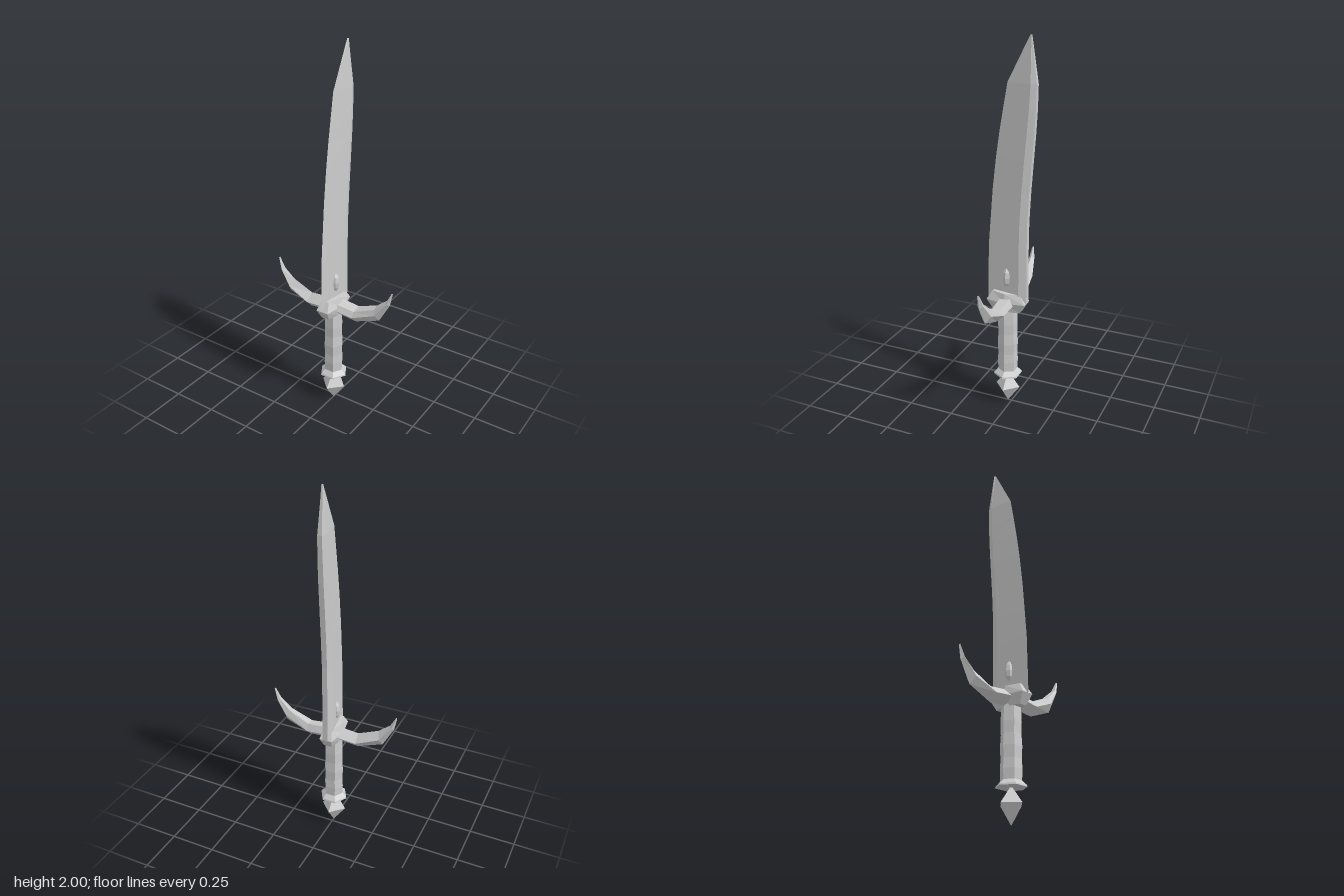
import * as THREE from 'three';

const steel = new THREE.MeshStandardMaterial({ color: 0xcccccc, flatShading: true });
steel.name = 'steel';
const AXIS_Z = 0.022; // the hilt sits a little forward of centre

// Skins a list of equal-length rings of [x, y, z] points and caps both ends.
function loft(name, rings) {
  const tris = [];
  const n = rings[0].length;
  for (let i = 0; i < rings.length - 1; i++) {
    for (let j = 0; j < n; j++) {
      const k = (j + 1) % n;
      const [a, b, c, d] = [rings[i][j], rings[i][k], rings[i + 1][k], rings[i + 1][j]];
      tris.push([a, b, c], [a, c, d]);
    }
  }
  const cap = (ring, flip) => {
    const mid = [0, 1, 2].map((q) => ring.reduce((s, p) => s + p[q], 0) / n);
    ring.forEach((p, j) => {
      const next = ring[(j + 1) % n];
      tris.push(flip ? [mid, next, p] : [mid, p, next]);
    });
  };
  cap(rings[0], true);
  cap(rings[rings.length - 1], false);

  // Turn the surface outward if its signed volume is negative.
  const v = (p) => new THREE.Vector3(...p);
  const volume = tris.reduce((s, [a, b, c]) => s + v(a).dot(v(b).cross(v(c))), 0);
  if (volume < 0) tris.forEach((t) => t.reverse());

  const geometry = new THREE.BufferGeometry();
  geometry.setAttribute('position', new THREE.Float32BufferAttribute(tris.flat(2), 3));
  geometry.computeVertexNormals();
  const mesh = new THREE.Mesh(geometry, steel);
  mesh.name = name;
  return mesh;
}

// Horizontal polygon ring around the hilt axis, with a corner on +x.
function polygon(radius, y, sides) {
  return Array.from({ length: sides }, (_, i) => {
    const a = (i / sides) * Math.PI * 2;
    return [radius * Math.cos(a), y, AXIS_Z + radius * Math.sin(a)];
  });
}

// Blade: sharp front edge, bevelled spine, clipped point.
function blade() {
  // y, edge z, spine z, half thickness
  const stations = [
    [0.62, 0.137, -0.09, 0.027], [0.92, 0.13, -0.09, 0.027], [1.07, 0.118, -0.092, 0.027],
    [1.23, 0.105, -0.101, 0.027], [1.4, 0.085, -0.114, 0.027], [1.54, 0.064, -0.125, 0.026],
    [1.66, 0.043, -0.132, 0.025], [1.775, 0.022, -0.135, 0.022], [2.0, -0.094, -0.104, 0.005],
  ];
  return loft('blade', stations.map(([y, edge, spine, w]) => {
    const bevel = spine + (edge - spine) * 0.18;
    return [[0, y, edge], [w, y, bevel], [w * 0.53, y, spine], [-w * 0.53, y, spine], [-w, y, bevel]];
  }));
}

// Guard block: long hexagon, widest at mid height.
function guardBlock() {
  const ring = (y, end, halfZ, mid) => [
    [mid, y, AXIS_Z], [end, y, AXIS_Z + halfZ], [-end, y, AXIS_Z + halfZ],
    [-mid, y, AXIS_Z], [-end, y, AXIS_Z - halfZ], [end, y, AXIS_Z - halfZ],
  ];
  return loft('guardBlock', [
    ring(0.565, 0.022, 0.078, 0.042), ring(0.62, 0.035, 0.109, 0.054), ring(0.67, 0.022, 0.078, 0.042),
  ]);
}

// Curved guard arm; section is a list of [z, height] in unit half sizes.
function guardArm(name, side, section) {
  // centre x, centre y, half depth, half height, outward lean of the section
  const stations = [
    [0.03, 0.61, 0.047, 0.043, 0], [0.143, 0.599, 0.042, 0.042, 0], [0.27, 0.651, 0.03, 0.041, 0.33],
    [0.332, 0.732, 0.016, 0.015, 0.85], [0.354, 0.794, 0.005, 0.004, 1.2],
  ];
  return loft(name, stations.map(([x, y, depth, height, lean]) => section.map(([z, h]) => [
    side * (x - Math.sin(lean) * h * height), y + Math.cos(lean) * h * height, AXIS_Z + z * depth,
  ])));
}

export function createModel() {
  const group = new THREE.Group();
  group.name = 'dagger';

  group.add(blade(), guardBlock());
  group.add(guardArm('rightGuardArm', -1, [[-1, 0], [0, 1], [1, 0], [0, -1]]));
  group.add(guardArm('leftGuardArm', 1, [[-1, 0], [-0.65, 0.9], [0.6, 0.7], [1, 0], [0, -1]]));

  // Grip: six-sided with a slight waviness
  const gripProfile = [
    [0.19, 0.052], [0.26, 0.055], [0.31, 0.052], [0.37, 0.055], [0.43, 0.051], [0.49, 0.053], [0.58, 0.049],
  ];
  group.add(loft('grip', gripProfile.map(([y, r]) => polygon(r, y, 6))));

  // Collar and pommel
  group.add(loft('collar', [polygon(0.078, 0.175, 6), polygon(0.076, 0.183, 6), polygon(0.052, 0.207, 6)]));
  group.add(loft('pommel', [polygon(0.001, 0, 4), polygon(0.07, 0.098, 4), polygon(0.004, 0.18, 4)]));

  // Oval studs standing out on both faces of the blade
  const stud = new THREE.Mesh(new THREE.SphereGeometry(1, 8, 6), steel);
  stud.name = 'bladeStuds';
  stud.scale.set(0.036, 0.06, 0.025);
  stud.position.set(0, 0.755, AXIS_Z);
  group.add(stud);

  return group;
}
